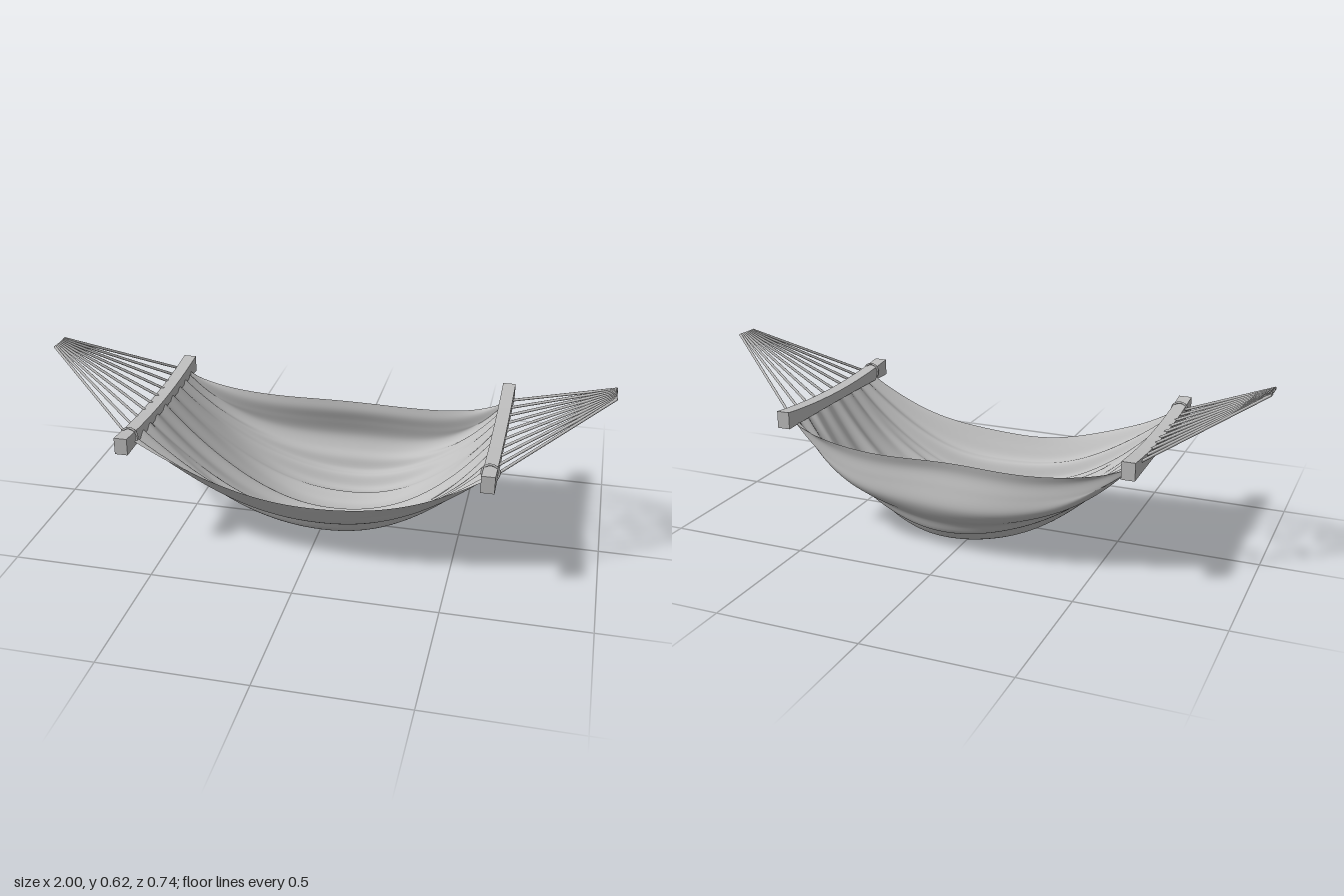
import * as THREE from 'three';

const BAR_X = 0.62, BAR_Y = 0.425;

// Sagging cloth: a draped mid section blends into a nearly flat edge at each bar
function createCloth(material) {
  const section = [
    [0.32, 0.235], [0.295, 0.19], [0.265, 0.147], [0.235, 0.143], [0.205, 0.085],
    [0.185, 0.085], [0.16, 0.063], [0.13, 0.08], [0.1, 0.044], [0.03, 0.03],
    [-0.03, 0.038], [-0.06, 0.015], [-0.135, 0.002], [-0.18, 0.026], [-0.2, 0.018],
    [-0.23, 0.02], [-0.26, 0.063], [-0.285, 0.068], [-0.305, 0.112], [-0.33, 0.14],
    [-0.35, 0.185], [-0.338, 0.25], [-0.325, 0.3], [-0.33, 0.338],
  ];
  const curve = new THREE.CatmullRomCurve3(section.map(([z, y]) => new THREE.Vector3(0, y, z)));
  const cols = 60, rows = 110;
  const profile = curve.getSpacedPoints(rows);
  const geo = new THREE.PlaneGeometry(1, 1, cols, rows);
  const pos = geo.attributes.position;
  for (let i = 0; i < pos.count; i++) {
    const u = pos.getX(i) * 2;
    const row = Math.round((pos.getY(i) + 0.5) * rows);
    const v = row / rows;
    // the sag is slightly fuller toward the left end
    const t = Math.abs(u - 0.05 * (1 - u * u));
    const mid = profile[row];
    // the back rim stays high along most of its length
    const power = 2.1 + 2.9 * THREE.MathUtils.smoothstep(v, 0.7, 1);
    const endY = 0.412 + 0.012 * Math.sin(v * 60);
    const endZ = 0.45 * THREE.MathUtils.lerp(0.29, -0.32, v) + 0.55 * mid.z * 0.94;
    const wobble = 0.003 * (1 - u * u) * Math.sin(u * 7 + v * 14);
    pos.setXYZ(i,
      u * BAR_X,
      Math.max(0, THREE.MathUtils.lerp(mid.y, endY, t ** power) + wobble),
      THREE.MathUtils.lerp(mid.z, endZ, t * t) + wobble);
  }
  geo.computeVertexNormals();
  const cloth = new THREE.Mesh(geo, material);
  cloth.name = 'cloth';
  return cloth;
}

// Wooden spreader bar whose top edge rises toward both tips
function createBar(material) {
  const geo = new THREE.BoxGeometry(0.046, 0.04, 0.74, 1, 1, 12).toNonIndexed();
  const pos = geo.attributes.position;
  for (let i = 0; i < pos.count; i++) {
    const k = (pos.getZ(i) / 0.37) ** 2;
    const top = pos.getY(i) > 0;
    pos.setY(i, top ? 0.009 + 0.022 * k : -0.026 - 0.004 * k);
  }
  geo.computeVertexNormals();
  const bar = new THREE.Mesh(geo, material);
  bar.name = 'spreaderBar';
  return bar;
}

// Straight round cord between two points
function createRope(a, b, material) {
  const rope = new THREE.Mesh(new THREE.CylinderGeometry(0.005, 0.005, a.distanceTo(b), 8), material);
  rope.position.copy(a).add(b).multiplyScalar(0.5);
  rope.quaternion.setFromUnitVectors(new THREE.Vector3(0, 1, 0), b.clone().sub(a).normalize());
  rope.name = 'rope';
  return rope;
}

export function createModel() {
  const gray = new THREE.MeshStandardMaterial({ color: 0xbfbfbf, side: THREE.DoubleSide });
  gray.name = 'plain gray';
  const model = new THREE.Group();
  model.name = 'hammock';
  model.add(createCloth(gray));

  for (const side of [-1, 1]) {
    const end = new THREE.Group();
    end.name = side > 0 ? 'leftEnd' : 'rightEnd';
    const barX = side > 0 ? BAR_X : -0.629;
    const barY = side > 0 ? BAR_Y + 0.002 : BAR_Y - 0.005;

    const bar = createBar(gray);
    bar.position.set(barX, barY, 0);
    end.add(bar);

    // cord loop wrapped around the bar near its front tip
    const loop = new THREE.Mesh(new THREE.TorusGeometry(0.029, 0.004, 8, 20), gray);
    loop.position.set(barX, barY + 0.003, 0.288);
    loop.name = 'cordLoop';
    end.add(loop);

    // fan of ropes gathered at the hanging point
    const ropes = new THREE.Group();
    ropes.name = 'ropeFan';
    for (let i = 0; i < 10; i++) {
      const f = i / 9 - 0.5;
      ropes.add(createRope(
        new THREE.Vector3(side * 0.638, 0.424, -0.006 - f * 0.584),
        new THREE.Vector3(side * 0.998, 0.62, -0.003 - f * 0.082), gray));
    }
    end.add(ropes);
    model.add(end);
  }
  return model;
}
